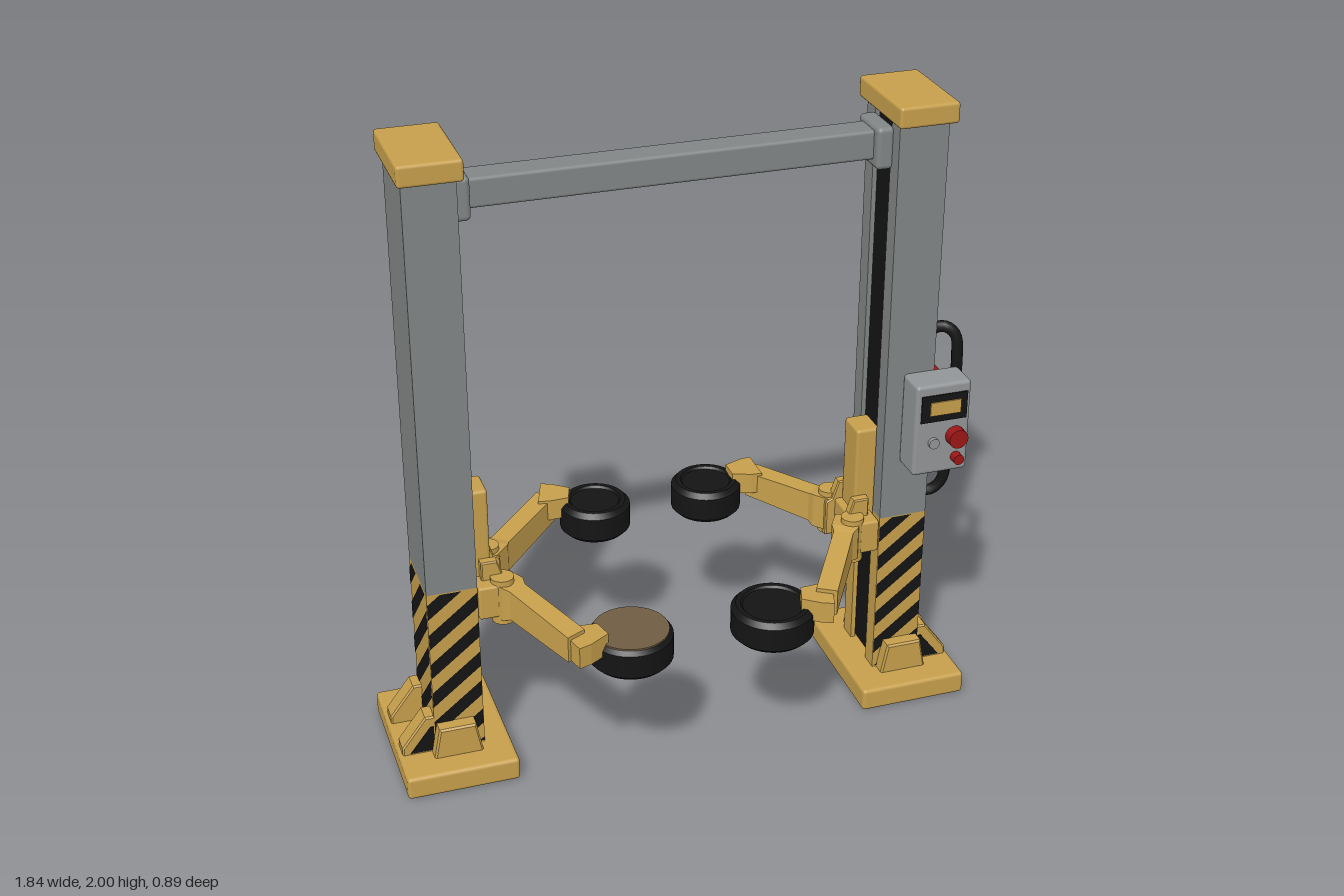
import * as THREE from 'three';
import { toCreasedNormals } from 'three/addons/utils/BufferGeometryUtils.js';
import { RoundedBoxGeometry } from 'three/addons/geometries/RoundedBoxGeometry.js';

const mat = (name, color) => Object.assign(new THREE.MeshStandardMaterial({ color }), { name });
const yellow = mat('safety yellow', 0xc69f4c);
const grey = mat('post grey', 0x828585);
const lightGrey = mat('cabinet grey', 0x929597);
const black = mat('rubber black', 0x141414);
const red = mat('button red', 0x9c1616);
const brown = mat('worn brown', 0x6f5d42);

function add(parent, name, geometry, material, x = 0, y = 0, z = 0) {
  const m = new THREE.Mesh(geometry, material);
  m.name = name;
  m.position.set(x, y, z);
  parent.add(m);
  return m;
}

// Box given by its limits on each axis, edges rounded by r
function box(parent, name, material, [x0, x1], [y0, y1], [z0, z1], r = 0) {
  const s = [x1 - x0, y1 - y0, z1 - z0];
  const g = r ? new RoundedBoxGeometry(...s, 2, r) : new THREE.BoxGeometry(...s);
  return add(parent, name, g, material, (x0 + x1) / 2, (y0 + y1) / 2, (z0 + z1) / 2);
}

const shapeOf = (pts) => new THREE.Shape(pts.map((p) => new THREE.Vector2(...p)));

function extrude(pts, depth, bevel = 0) {
  return new THREE.ExtrudeGeometry(shapeOf(pts), {
    depth, bevelEnabled: bevel > 0, bevelSize: bevel, bevelThickness: bevel, bevelOffset: -bevel, bevelSegments: 1,
  });
}

// Rectangular bar lofted through stations [x, y, z, width, height]
function bar(stations) {
  const pos = [], idx = [], n = stations.length;
  stations.forEach(([x, y, z, w, h], i) => {
    const a = stations[Math.max(0, i - 1)], b = stations[Math.min(n - 1, i + 1)];
    const len = Math.hypot(b[0] - a[0], b[2] - a[2]);
    const rx = -(b[2] - a[2]) / len * w / 2, rz = (b[0] - a[0]) / len * w / 2;
    for (const [s, t] of [[-1, -1], [1, -1], [1, 1], [-1, 1]]) pos.push(x + s * rx, y + t * h / 2, z + s * rz);
    if (i < n - 1) {
      for (let k = 0; k < 4; k++) {
        const p = i * 4 + k, q = i * 4 + (k + 1) % 4;
        idx.push(p, p + 4, q + 4, p, q + 4, q);
      }
    }
  });
  const e = (n - 1) * 4;
  idx.push(0, 1, 2, 0, 2, 3, e, e + 2, e + 1, e, e + 3, e + 2);
  let g = new THREE.BufferGeometry();
  g.setAttribute('position', new THREE.Float32BufferAttribute(pos, 3));
  g.setIndex(idx);
  g = g.toNonIndexed();
  g.computeVertexNormals();
  return g;
}

// Keep the part of a polygon where sign * y <= sign * limit
function clip(pts, limit, sign) {
  const out = [], inside = (p) => sign * p[1] <= sign * limit;
  pts.forEach((p, i) => {
    const q = pts[(i + 1) % pts.length];
    if (inside(p)) out.push(p);
    if (inside(p) !== inside(q)) {
      const t = (limit - p[1]) / (q[1] - p[1]);
      out.push([p[0] + t * (q[0] - p[0]), limit]);
    }
  });
  return out;
}

// Diagonal warning stripes on an upright face of width w
function stripes(w, y0, y1, slope, period) {
  const shapes = [], h = w / 2, rise = slope * h, t = period * 0.5;
  for (let c = y1 + Math.abs(rise) - t * 0.6; c > y0 - Math.abs(rise) - t; c -= period) {
    let p = [[-h, c - rise - t], [h, c + rise - t], [h, c + rise], [-h, c - rise]];
    p = clip(clip(p, y1, 1), y0, -1);
    if (p.length > 2) shapes.push(shapeOf(p));
  }
  return new THREE.ShapeGeometry(shapes);
}

// Post with base, seen with its open side towards -x; lean sets the stripe direction on front and back
function makePost(name, lean) {
  const post = new THREE.Group();
  post.name = name;
  box(post, 'basePlate', yellow, [-0.158, 0.192], [0, 0.075], [-0.245, 0.245], 0.012);
  box(post, 'topCap', yellow, [-0.093, 0.093], [1.935, 2], [-0.155, 0.155], 0.01);

  // C-shaped column, open inwards
  const channel = [[-0.0775, -0.12], [0.0775, -0.12], [0.0775, 0.12], [-0.0775, 0.12], [-0.0775, 0.062],
    [-0.0625, 0.062], [-0.0625, 0.105], [0.0625, 0.105], [0.0625, -0.105], [-0.0625, -0.105],
    [-0.0625, -0.062], [-0.0775, -0.062]];
  add(post, 'lowerColumn', extrude(channel, 0.575), yellow, 0, 0.06).rotation.x = -Math.PI / 2;
  add(post, 'upperColumn', extrude(channel, 1.305), grey, 0, 0.635).rotation.x = -Math.PI / 2;
  box(post, 'channelLining', black, [-0.055, -0.045], [0.07, 1.935], [-0.104, 0.104]);

  // Warning stripes on the three closed sides
  add(post, 'frontStripes', stripes(0.153, 0.08, 0.633, 0.8 * lean, 0.105), black, 0, 0, 0.122);
  add(post, 'backStripes', stripes(0.153, 0.08, 0.633, -0.8 * lean, 0.105), black, 0, 0, -0.122).rotation.y = Math.PI;
  add(post, 'sideStripes', stripes(0.238, 0.08, 0.633, 1, 0.125), black, 0.0795).rotation.y = Math.PI / 2;

  // Foot blocks, gussets and their dark recesses
  for (const s of [-1, 1]) {
    const foot = extrude([[-0.065, 0.07], [0.09, 0.07], [0.07, 0.175], [-0.045, 0.175]], 0.04, 0.006);
    add(post, 'footBlock', foot, yellow, 0, 0, s > 0 ? 0.118 : -0.158);
    const gusset = extrude([[0.07, 0.07], [0.18, 0.07], [0.18, 0.1], [0.105, 0.2], [0.07, 0.2]], 0.055, 0.005);
    add(post, 'gusset', gusset, yellow, 0, 0, s > 0 ? 0.06 : -0.115);
    const recess = extrude([[0.08, 0.08], [0.155, 0.08], [0.09, 0.165], [0.08, 0.165]], 0.004);
    add(post, 'gussetRecess', recess, black, 0, 0, s > 0 ? 0.119 : -0.123);
  }

  // Sliding carriage and arm mounts
  box(post, 'carriagePlate', yellow, [-0.137, -0.06], [0.48, 0.92], [-0.052, 0.052], 0.01);
  box(post, 'carriageCrossBar', yellow, [-0.16, -0.08], [0.52, 0.63], [-0.125, 0.125], 0.008);
  for (const s of [-1, 1]) {
    const cheek = extrude([[-0.19, 0.5], [-0.1, 0.5], [-0.1, 0.69], [-0.15, 0.69], [-0.17, 0.63], [-0.19, 0.62]], 0.025, 0.004);
    add(post, 'carriageCheek', cheek, yellow, 0, 0, s * 0.065 - 0.0125);
    add(post, 'armPivot', toCreasedNormals(new THREE.CylinderGeometry(0.036, 0.036, 0.15, 20), 0.6), yellow, -0.16, 0.57, s * 0.095);
  }

  // Socket for the cross beam
  box(post, 'beamSocket', grey, [-0.125, -0.07], [1.785, 1.915], [-0.075, 0.075], 0.015);
  return post;
}

// Lifting arm from pivot to tip, with a head reaching over a round pad
function makeArm(name, pivot, tip, pad, r, padY, worn) {
  const arm = new THREE.Group();
  arm.name = name;
  const front = pivot[1] > 0, endY = front ? 0.535 : 0.585, headY = front ? 0.53 : 0.6;
  const at = (t) => [pivot[0] + (tip[0] - pivot[0]) * t, pivot[1] + (tip[1] - pivot[1]) * t];
  const station = (t, y, w, h) => [at(t)[0], y, at(t)[1], w, h];
  add(arm, 'armBeam', bar([station(0, 0.57, 0.085, 0.115), station(0.18, 0.57, 0.085, 0.115),
    station(0.25, 0.57, 0.062, 0.1), station(1, endY, 0.066, 0.085)]), yellow);
  const toPad = (t, w) => [tip[0] + (pad[0] - tip[0]) * t, headY, tip[1] + (pad[1] - tip[1]) * t, w, 0.07];
  add(arm, 'armHead', bar([toPad(-0.12, 0.115), toPad(0.1, 0.11), toPad(0.48, 0.065)]), yellow);
  const profile = [[0, 0], [r - 0.015, 0], [r, 0.015], [r, 0.09], [r - 0.015, 0.106], [r - 0.03, 0.106],
    [r - 0.036, 0.099], [0, 0.099]].map((p) => new THREE.Vector2(...p));
  add(arm, 'rubberPad', toCreasedNormals(new THREE.LatheGeometry(profile, 40), 0.5), black, pad[0], padY, pad[1]);
  if (worn) add(arm, 'wornPadTop', new THREE.CylinderGeometry(r - 0.012, r - 0.012, 0.008, 40), brown, pad[0], padY + 0.104, pad[1]);
  return arm;
}

// Control cabinet with display and buttons
function makeControls() {
  const g = new THREE.Group();
  g.name = 'controlBox';
  box(g, 'cabinet', lightGrey, [0.695, 0.875], [0.83, 1.135], [0.105, 0.212], 0.012);
  box(g, 'displayPanel', black, [0.712, 0.862], [1.012, 1.102], [0.21, 0.216]);
  box(g, 'displayStrip', yellow, [0.74, 0.84], [1.035, 1.08], [0.214, 0.22]);
  const button = (name, material, x, y, r, depth) => {
    const c = toCreasedNormals(new THREE.CylinderGeometry(r, r, depth, 20), 0.6);
    add(g, name, c, material, x, y, 0.21 + depth / 2).rotation.x = Math.PI / 2;
  };
  button('stopButton', red, 0.828, 0.955, 0.031, 0.035);
  button('lowerButton', red, 0.835, 0.88, 0.017, 0.03);
  button('startButton', lightGrey, 0.757, 0.94, 0.017, 0.015);
  return g;
}

export function createModel() {
  const model = new THREE.Group();
  model.name = 'twoPostLift';

  const leftPost = makePost('leftPost', 1);
  leftPost.position.set(0.7175, 0, -0.01);
  const rightPost = makePost('rightPost', -1);
  rightPost.position.set(-0.7325, 0, -0.01);
  rightPost.rotation.y = Math.PI;
  model.add(leftPost, rightPost);

  box(model, 'crossBeam', grey, [-0.63, 0.615], [1.81, 1.9], [-0.058, 0.036], 0.01);

  model.add(
    makeArm('rightFrontArm', [-0.575, 0.05], [-0.42, 0.355], [-0.24, 0.31], 0.128, 0.425, true),
    makeArm('rightBackArm', [-0.585, -0.09], [-0.315, -0.375], [-0.165, -0.325], 0.113, 0.508, false),
    makeArm('leftFrontArm', [0.56, 0.05], [0.365, 0.36], [0.21, 0.31], 0.128, 0.425, false),
    makeArm('leftBackArm', [0.57, -0.09], [0.37, -0.335], [0.215, -0.335], 0.113, 0.508, false),
  );

  model.add(makeControls());

  // Hydraulic hose loop and its red fittings on the outer side
  const path = [[0.815, 0.7, 0], [0.815, 0.95, 0], [0.815, 1.17, 0.005], [0.825, 1.225, 0.02], [0.855, 1.24, 0.04],
    [0.885, 1.215, 0.055], [0.893, 1.15, 0.06], [0.893, 0.95, 0.05], [0.892, 0.75, 0.035], [0.88, 0.68, 0.025],
    [0.85, 0.65, 0.012], [0.825, 0.655, 0.003]].map((p) => new THREE.Vector3(...p));
  add(model, 'hose', new THREE.TubeGeometry(new THREE.CatmullRomCurve3(path, true), 96, 0.018, 10, true), black);
  box(model, 'upperFitting', red, [0.79, 0.85], [1.01, 1.095], [-0.005, 0.05], 0.008);
  box(model, 'lowerFitting', red, [0.79, 0.835], [0.87, 0.96], [0, 0.04], 0.008);
  return model;
}
